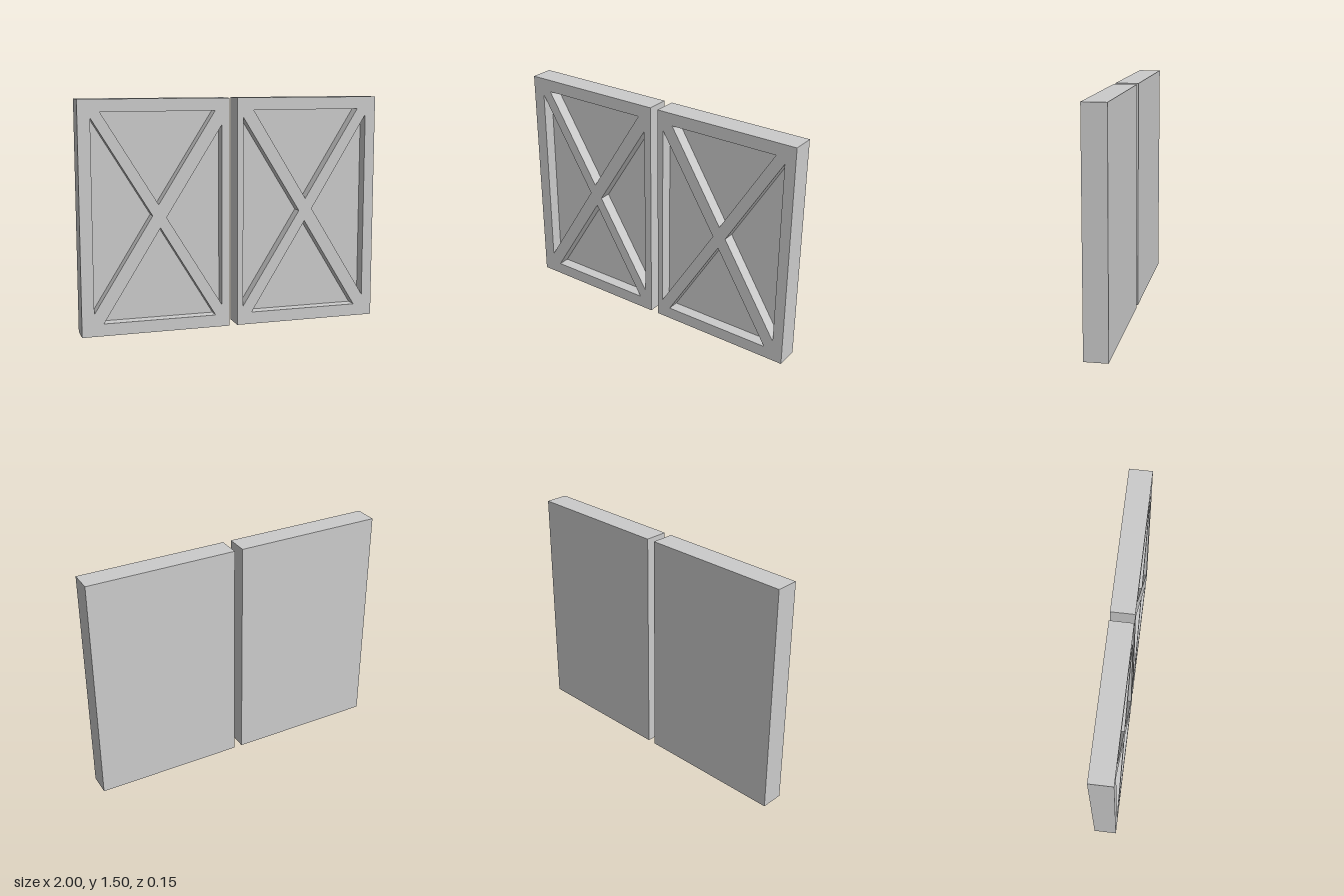
import * as THREE from 'three';

const HEIGHT = 1.5, BACK = -0.075, FRONT = 0.075, FLOOR = -0.002;

// Each door: its x range and the four triangular recesses between frame and cross braces
const DOORS = [
  {
    name: 'rightDoor', x0: -1, x1: -0.025,
    recesses: [
      [[-0.86, 1.42], [-0.12, 1.42], [-0.495, 0.83]],
      [[-0.92, 1.385], [-0.92, 0.145], [-0.535, 0.76]],
      [[-0.075, 1.33], [-0.075, 0.145], [-0.445, 0.745]],
      [[-0.86, 0.08], [-0.12, 0.08], [-0.485, 0.68]],
    ],
  },
  {
    name: 'leftDoor', x0: 0.03, x1: 1,
    recesses: [
      [[0.14, 1.42], [0.87, 1.42], [0.505, 0.83]],
      [[0.07, 1.375], [0.07, 0.125], [0.46, 0.75]],
      [[0.93, 1.38], [0.93, 0.145], [0.55, 0.76]],
      [[0.13, 0.08], [0.87, 0.08], [0.5, 0.68]],
    ],
  },
];

const toPoints = (list) => list.map(([x, y]) => new THREE.Vector2(x, y));

function createDoor({ name, x0, x1, recesses }, material) {
  const door = new THREE.Group();
  door.name = name;

  // Solid back panel, whose front is the floor of the recesses
  const panelDepth = FLOOR - BACK;
  const panel = new THREE.Mesh(new THREE.BoxGeometry(x1 - x0, HEIGHT, panelDepth), material);
  panel.name = 'backPanel';
  panel.position.set((x0 + x1) / 2, HEIGHT / 2, BACK + panelDepth / 2);

  // Frame and crossed braces in one piece, cut by the recesses
  const outline = new THREE.Shape(toPoints([[x0, 0], [x1, 0], [x1, HEIGHT], [x0, HEIGHT]]));
  outline.holes = recesses.map((r) => new THREE.Path(toPoints(r)));
  const frame = new THREE.Mesh(
    new THREE.ExtrudeGeometry(outline, { depth: FRONT - FLOOR, bevelEnabled: false }),
    material
  );
  frame.name = 'crossBracedFrame';
  frame.position.z = FLOOR;

  door.add(panel, frame);
  return door;
}

export function createModel() {
  const material = new THREE.MeshStandardMaterial({ color: 0xcccccc, flatShading: true });
  const model = new THREE.Group();
  model.name = 'doubleDoors';
  for (const spec of DOORS) model.add(createDoor(spec, material));
  return model;
}
